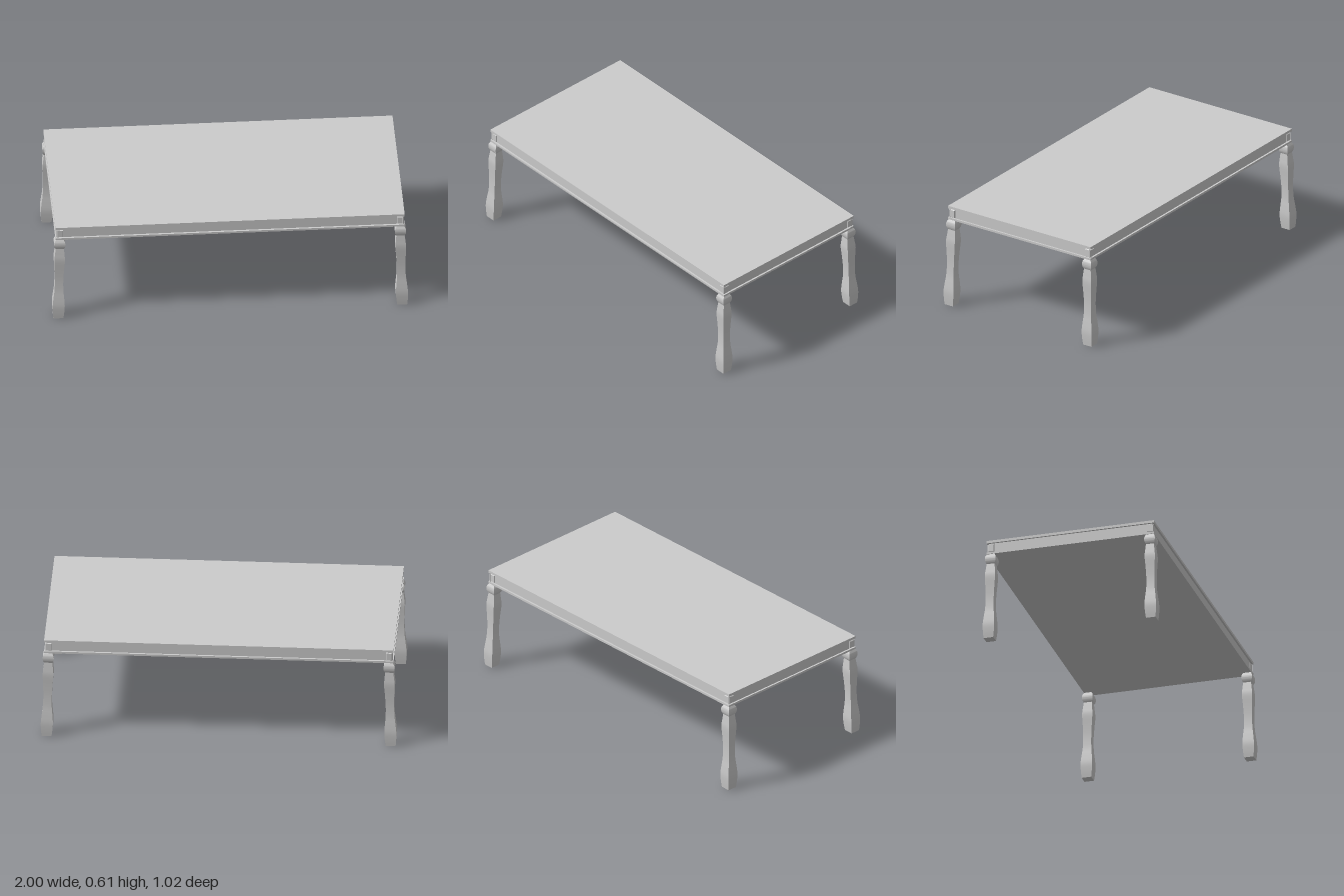
import * as THREE from 'three';
import { toCreasedNormals } from 'three/addons/utils/BufferGeometryUtils.js';

const material = new THREE.MeshStandardMaterial({ color: 0xcccccc });

function addMesh(parent, name, geometry, x = 0, y = 0, z = 0) {
  const mesh = new THREE.Mesh(geometry, material);
  mesh.name = name;
  mesh.position.set(x, y, z);
  parent.add(mesh);
  return mesh;
}

// Horizontal slab between two heights, given half width and half depth
function addSlab(parent, name, hx, hz, y0, y1) {
  addMesh(parent, name, new THREE.BoxGeometry(2 * hx, y1 - y0, 2 * hz), 0, (y0 + y1) / 2, 0);
}

// Square-section turning: [half width, height] points, smoothed along the height
function squareTurning(points, steps) {
  const curve = new THREE.SplineCurve(points.map(([w, y]) => new THREE.Vector2(w * Math.SQRT2, y)));
  const profile = curve.getPoints(steps);
  profile.unshift(new THREE.Vector2(0, profile[0].y));
  profile.push(new THREE.Vector2(0, profile[profile.length - 1].y));
  return toCreasedNormals(new THREE.LatheGeometry(profile, 4, Math.PI / 4), 0.7);
}

// Bevelled square panel facing +z
function bevelPanel(width, height, depth) {
  const geometry = new THREE.CylinderGeometry(0.82 * Math.SQRT1_2, Math.SQRT1_2, depth, 4);
  geometry.rotateY(Math.PI / 4).rotateX(Math.PI / 2).scale(width, height, 1);
  return toCreasedNormals(geometry, 0.3);
}

export function createModel() {
  const table = new THREE.Group();
  table.name = 'table';

  // Top, recessed frieze and lower moulding
  addSlab(table, 'tableTop', 0.982, 0.489, 0.59, 0.605);
  addSlab(table, 'frieze', 0.972, 0.478, 0.535, 0.59);
  addSlab(table, 'lowerMoulding', 0.982, 0.489, 0.523, 0.535);

  // Leg shaft, splaying slightly outward towards the floor
  const shaft = squareTurning([
    [0.028, 0], [0.032, 0.04], [0.034, 0.085], [0.03, 0.135], [0.025, 0.185], [0.0235, 0.25],
    [0.026, 0.315], [0.03, 0.385], [0.027, 0.425], [0.023, 0.462],
  ], 36);
  const pos = shaft.attributes.position;
  for (let i = 0; i < pos.count; i++) {
    const splay = 0.009 * (1 - pos.getY(i) / 0.462);
    pos.setX(i, pos.getX(i) + splay);
    pos.setZ(i, pos.getZ(i) + splay);
  }

  // Cushion-shaped knob above the shaft
  const knob = squareTurning([
    [0.023, 0.462], [0.029, 0.475], [0.0315, 0.494], [0.028, 0.511], [0.02, 0.524],
  ], 16);
  const panel = bevelPanel(0.041, 0.05, 0.007);

  for (const sx of [1, -1]) {
    for (const sz of [1, -1]) {
      const leg = new THREE.Group();
      leg.name = (sz > 0 ? 'front' : 'back') + (sx > 0 ? 'Left' : 'Right') + 'Leg';
      leg.position.set(sx * 0.958, 0, sz * 0.466);
      // Turn the splay outward at each corner
      const turn = sx > 0 ? (sz > 0 ? 0 : 1) : (sz > 0 ? 3 : 2);
      addMesh(leg, 'shaft', shaft).rotation.y = turn * Math.PI / 2;
      addMesh(leg, 'knob', knob);

      // Raised corner panels on the two outer faces of the frieze
      addMesh(leg, 'cornerPanel', panel, 0, 0.5605, sz * 0.0145).rotation.y = sz > 0 ? 0 : Math.PI;
      addMesh(leg, 'cornerPanel', panel, sx * 0.0165, 0.5605, 0).rotation.y = sx * Math.PI / 2;
      table.add(leg);
    }
  }
  return table;
}
